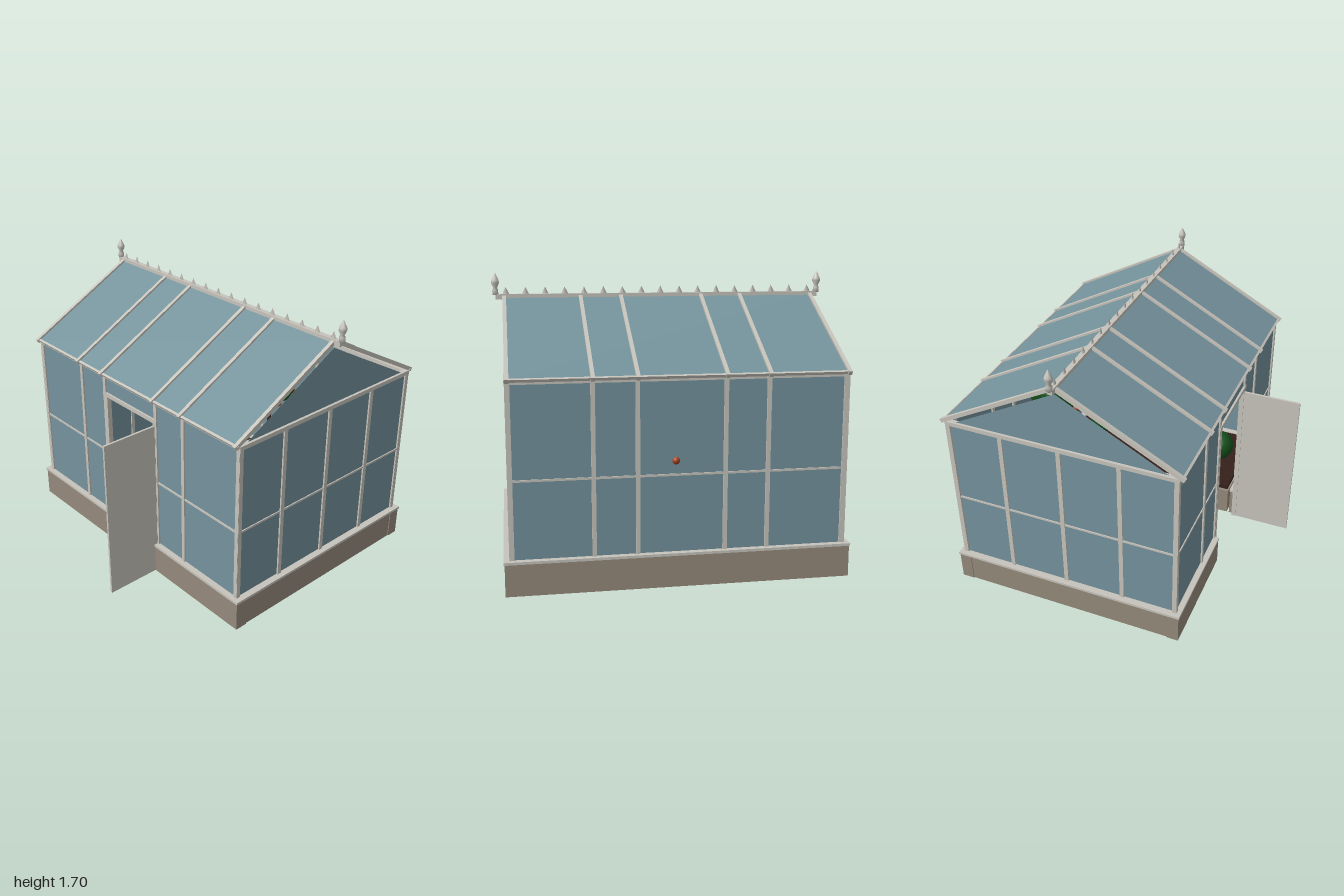
import * as THREE from 'three';

const mat = (name, color, extra = {}) => Object.assign(new THREE.MeshStandardMaterial({ color, ...extra }), { name });

export function createModel() {
  const M = {
    frame: mat('pale frame', 0xc6c3bb),
    glass: mat('blue glass', 0x74929c, { side: THREE.DoubleSide }),
    stone: mat('stone', 0x94897b),
    soil: mat('soil', 0x35201a),
    clay: mat('terracotta', 0x8a3018),
    leaf: mat('foliage', 0x15501c),
    bark: mat('bark', 0x3a211a),
    fruit: mat('fruit', 0xa8421c),
  };
  const root = new THREE.Group();
  root.name = 'greenhouse';
  const add = (name, geo, m, x = 0, y = 0, z = 0, parent = root) => {
    const mesh = new THREE.Mesh(geo, m);
    mesh.name = name;
    mesh.position.set(x, y, z);
    parent.add(mesh);
    return mesh;
  };
  // Box given by its limits on each axis
  const box = (name, m, [x0, x1], [y0, y1], [z0, z1], parent = root) =>
    add(name, new THREE.BoxGeometry(x1 - x0, y1 - y0, z1 - z0), m,
      (x0 + x1) / 2, (y0 + y1) / 2, (z0 + z1) / 2, parent);
  const around = (c, w) => [c - w / 2, c + w / 2];
  const mirrored = (s, a, b) => (s > 0 ? [a, b] : [-b, -a]);

  const CZ = -0.16;                 // ridge line
  const F = 0.53, B = -0.85;        // front and back glazing
  const SX = 0.925;                 // side glazing
  const bars = [-0.93, -0.485, -0.245, 0.24, 0.48, 0.925];

  // Stone plinth with coping, open at the doorway
  box('backPlinth', M.stone, [-0.965, 0.965], [0, 0.18], [-0.885, -0.81]);
  box('backCoping', M.frame, [-0.97, 0.97], [0.18, 0.195], [-0.89, -0.805]);
  for (const s of [1, -1]) {
    box('sidePlinth', M.stone, mirrored(s, 0.885, 0.96), [0, 0.18], [-0.81, 0.49]);
    box('sideCoping', M.frame, mirrored(s, 0.88, 0.97), [0.18, 0.195], [-0.805, 0.485]);
    box('frontPlinth', M.stone, mirrored(s, 0.24, 0.965), [0, 0.18], [0.49, 0.565]);
    box('frontCoping', M.frame, mirrored(s, 0.24, 0.97), [0.18, 0.195], [0.485, 0.57]);
    // Planting beds either side of the aisle
    box('bed', M.stone, mirrored(s, 0.24, 0.87), [0, 0.18], [-0.795, 0.475]);
    box('bedSoil', M.soil, mirrored(s, 0.26, 0.86), [0.18, 0.205], [-0.785, 0.465]);
    for (let i = 0; i < 4; i++) {
      const shrub = add('shrub', new THREE.IcosahedronGeometry(0.095, 2), M.leaf, s * 0.58, 0.29, 0.3 - i * 0.3);
      shrub.scale.y = 1.1;
    }
  }

  // Long walls: glass, posts and rails
  for (const [z, front] of [[F, true], [B, false]]) {
    const side = front ? 'front' : 'back';
    if (front) {
      for (const s of [1, -1])
        box('frontGlass', M.glass, mirrored(s, 0.23, SX), [0.19, 1.16], around(z, 0.008));
      box('transomGlass', M.glass, [-0.23, 0.23], [1.04, 1.16], around(z, 0.008));
    } else box('backGlass', M.glass, [-SX, SX], [0.19, 1.16], around(z, 0.008));
    for (const x of bars)
      box(side + 'Post', M.frame, around(x, 0.024), [front && Math.abs(x) < 0.3 ? 0 : 0.19, 1.165], around(z, 0.028));
    box(side + 'TopRail', M.frame, [-0.94, 0.94], [1.15, 1.175], around(z, 0.032));
    const spans = front ? [[-SX, -0.24], [0.24, SX]] : [[-SX, SX]];
    for (const sp of spans) box(side + 'MidRail', M.frame, sp, around(0.632, 0.012), around(z, 0.02));
  }

  // Doorway and open door leaf
  box('doorLintel', M.frame, [-0.255, 0.255], [1.025, 1.05], around(F, 0.034));
  for (const s of [1, -1])
    box('doorJamb', M.frame, mirrored(s, 0.218, 0.24), [0, 1.03], around(F, 0.03));
  box('doorLeaf', M.frame, around(0.23, 0.014), [0, 1.01], [0.54, 0.9]);

  // Gable walls
  for (const s of [1, -1]) {
    const x = s * SX;
    box('sideGlass', M.glass, around(x, 0.008), [0.19, 1.16], [B, F]);
    for (const z of [F, 0.2, CZ, -0.52, B])
      box('sidePost', M.frame, around(x, 0.028), [0.19, 1.165], around(z, 0.026));
    box('sideTopRail', M.frame, around(x, 0.032), [1.15, 1.175], [B - 0.015, F + 0.015]);
    box('sideMidRail', M.frame, around(x, 0.02), around(0.632, 0.012), [B, F]);
    const tri = new THREE.Shape([[-0.65, 1.17], [0.65, 1.17], [0, 1.52]].map(p => new THREE.Vector2(...p)));
    add('gableGlass', new THREE.ShapeGeometry(tri), M.glass, x, 0, CZ).rotation.y = s * Math.PI / 2;
  }

  // Roof slopes
  const pitch = Math.atan2(0.39, 0.73), L = 0.83;
  for (const turn of [0, Math.PI]) {
    const slope = new THREE.Group();
    slope.name = 'roofSlope';
    slope.position.set(0, 1.562, CZ);
    slope.rotation.set(pitch, turn, 0, 'YXZ');
    root.add(slope);
    box('roofGlass', M.glass, [-0.93, 0.93], [-0.008, 0], [0, L - 0.01], slope);
    for (const x of bars)
      box('roofBar', M.frame, around(turn ? -x : x, 0.022), [-0.012, 0.012], [0, L], slope);
    box('eaveRail', M.frame, [-0.94, 0.94], [-0.012, 0.005], [L - 0.022, L - 0.008], slope);
  }

  // Ridge, cresting and finials
  box('ridge', M.frame, [-0.975, 0.975], [1.545, 1.575], around(CZ, 0.032));
  for (let i = -8; i <= 8; i++) {
    const spike = add('crestSpike', new THREE.ConeGeometry(0.021, 0.042, 4), M.frame, i * 0.1144, 1.595, CZ);
    spike.scale.z = 0.35;
  }
  const finialProfile = [[0, 0], [0.018, 0], [0.018, 0.03], [0.011, 0.04], [0.024, 0.07], [0.022, 0.085], [0.01, 0.11], [0, 0.13]]
    .map(p => new THREE.Vector2(...p));
  for (const s of [1, -1])
    add('finial', new THREE.LatheGeometry(finialProfile, 10), M.frame, s * 0.975, 1.57, CZ);

  // Potted fruit tree at the end of the aisle
  const tree = new THREE.Group();
  tree.name = 'pottedTree';
  tree.position.z = -0.65;
  root.add(tree);
  const potProfile = [[0, 0], [0.095, 0], [0.115, 0.2], [0.13, 0.2], [0.13, 0.235], [0.11, 0.235], [0.105, 0.21], [0, 0.21]]
    .map(p => new THREE.Vector2(...p));
  add('pot', new THREE.LatheGeometry(potProfile, 24), M.clay, 0, 0, 0, tree);
  add('potSoil', new THREE.CylinderGeometry(0.105, 0.105, 0.01, 20), M.soil, 0, 0.215, 0, tree);
  add('trunk', new THREE.CylinderGeometry(0.013, 0.016, 0.55, 10), M.bark, 0, 0.48, 0, tree);
  add('crown', new THREE.IcosahedronGeometry(0.185, 3), M.leaf, 0, 0.88, 0, tree);
  for (const [y, r, n] of [[0.8, 0.085, 7], [0.92, 0.11, 8], [1.01, 0.06, 5]])
    for (let i = 0; i < n; i++) {
      const a = (i + y * 5) / n * Math.PI * 2;
      add('crownLobe', new THREE.IcosahedronGeometry(0.085, 2), M.leaf, Math.cos(a) * r, y, Math.sin(a) * r, tree);
    }
  const fruits = [[-0.195, 0.92, 0.03], [0.03, 0.92, 0.2], [0.2, 0.835, 0.05], [-0.1, 0.84, 0.18],
    [-0.19, 0.75, 0.03], [0.155, 0.75, 0.08], [0.03, 0.71, -0.2]];
  for (const p of fruits) add('fruit', new THREE.SphereGeometry(0.022, 12, 8), M.fruit, ...p, tree);

  return root;
}
